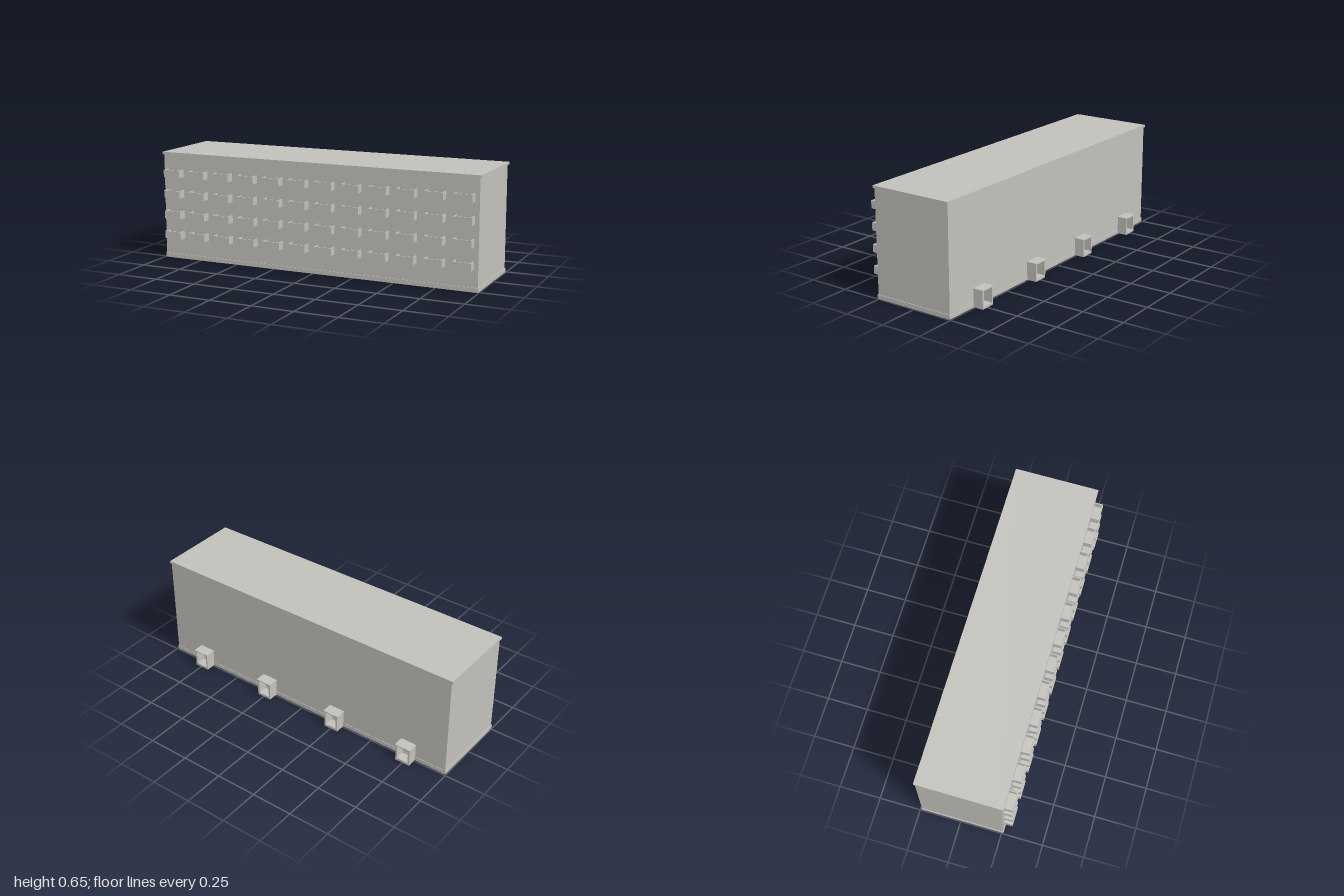
import * as THREE from 'three';

export function createModel() {
  const model = new THREE.Group();
  model.name = 'apartmentBlock';
  const concrete = new THREE.MeshStandardMaterial({ color: 0xc2c0ba });
  concrete.name = 'concrete';

  // Box given by its lower and upper limits on each axis
  function box(parent, name, x0, x1, y0, y1, z0, z1) {
    const mesh = new THREE.Mesh(new THREE.BoxGeometry(x1 - x0, y1 - y0, z1 - z0), concrete);
    mesh.position.set((x0 + x1) / 2, (y0 + y1) / 2, (z0 + z1) / 2);
    mesh.name = name;
    parent.add(mesh);
  }

  // Main volume
  box(model, 'walls', -0.992, 0.992, 0.025, 0.632, -0.24, 0.257);
  box(model, 'plinth', -0.996, 0.996, 0, 0.025, -0.243, 0.261);
  box(model, 'roofSlab', -1, 1, 0.632, 0.647, -0.245, 0.263);

  // Open-topped balconies: four floors of twelve
  const bw = 0.054, bt = 0.006, wall = 0.257, front = 0.308;
  for (let floor = 0; floor < 4; floor++) {
    for (let col = 0; col < 12; col++) {
      const balcony = new THREE.Group();
      balcony.name = 'balcony';
      balcony.position.set(-0.913 + col * 0.166, 0.127 + floor * 0.125, 0);
      box(balcony, 'balconyFloor', -bw, bw, 0, bt, wall, front);
      box(balcony, 'balconyFront', -bw, bw, bt, 0.045, front - bt, front);
      for (const s of [-1, 1]) {
        const c = s * (bw - bt / 2);
        box(balcony, 'balconySide', c - bt / 2, c + bt / 2, bt, 0.045, wall, front - bt);
      }
      model.add(balcony);
    }
  }

  // Entrance porches along the back
  for (let i = 0; i < 4; i++) {
    const porch = new THREE.Group();
    porch.name = 'porch';
    porch.position.x = -0.748 + i * 0.497;
    box(porch, 'porchFloor', -0.046, 0.046, 0, 0.015, -0.302, -0.24);
    box(porch, 'porchRoof', -0.05, 0.05, 0.105, 0.111, -0.306, -0.24);
    for (const s of [-1, 1]) {
      const c = s * 0.041;
      box(porch, 'porchWall', c - 0.005, c + 0.005, 0.015, 0.105, -0.302, -0.24);
    }
    model.add(porch);
  }
  return model;
}
